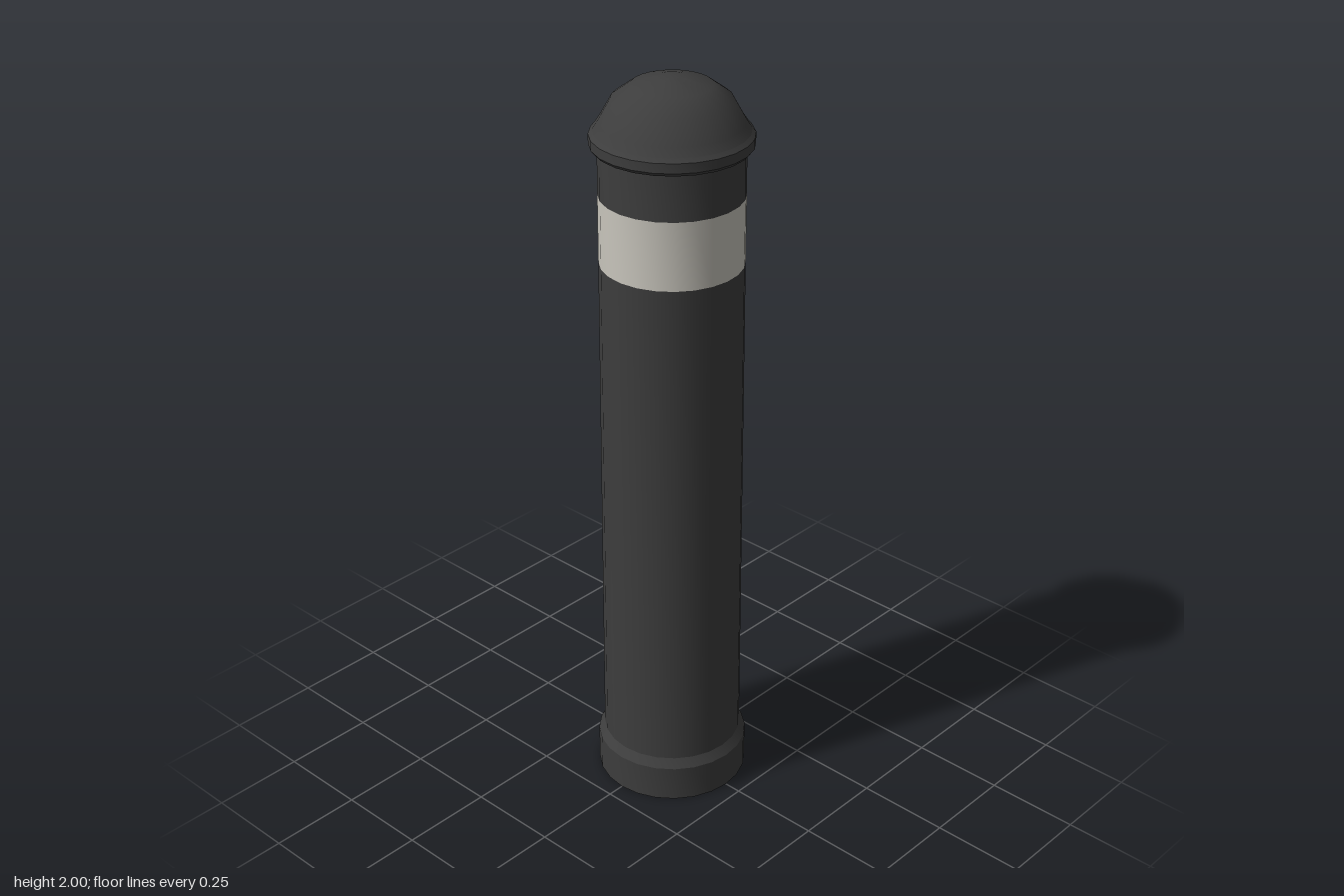
import * as THREE from 'three';
import { toCreasedNormals } from 'three/addons/utils/BufferGeometryUtils.js';

const SIDES = 24;

export function createModel() {
  const group = new THREE.Group();
  const iron = new THREE.MeshStandardMaterial({ color: 0x3d3d3d });
  iron.name = 'dark iron';
  const reflective = new THREE.MeshStandardMaterial({ color: 0xc8c5bc });
  reflective.name = 'pale reflective band';

  // Turned part from [radius, height] pairs, listed bottom to top
  function turned(name, material, profile) {
    const points = profile.map(([r, y]) => new THREE.Vector2(r, y));
    const geometry = toCreasedNormals(new THREE.LatheGeometry(points, SIDES), 0.55);
    const mesh = new THREE.Mesh(geometry, material);
    mesh.name = name;
    group.add(mesh);
  }

  // Foot collar with a closed underside and sloped shoulder
  turned('footCollar', iron, [[0, 0], [0.203, 0], [0.203, 0.1], [0.187, 0.125]]);

  // Slightly tapering post, split around the band
  turned('postShaft', iron, [[0.187, 0.12], [0.183, 1.52]]);
  turned('reflectiveBand', reflective, [[0.183, 1.52], [0.183, 1.7]]);
  turned('postNeck', iron, [[0.183, 1.7], [0.182, 1.84]]);

  // Overhanging rim of the cap
  turned('capRim', iron, [
    [0.17, 1.823], [0.196, 1.823], [0.203, 1.832], [0.203, 1.857], [0.194, 1.867],
  ]);

  // Domed cap
  turned('capDome', iron, [
    [0.194, 1.867], [0.18, 1.888], [0.149, 1.944], [0.1, 1.98], [0.035, 1.998], [0, 2],
  ]);

  return group;
}
